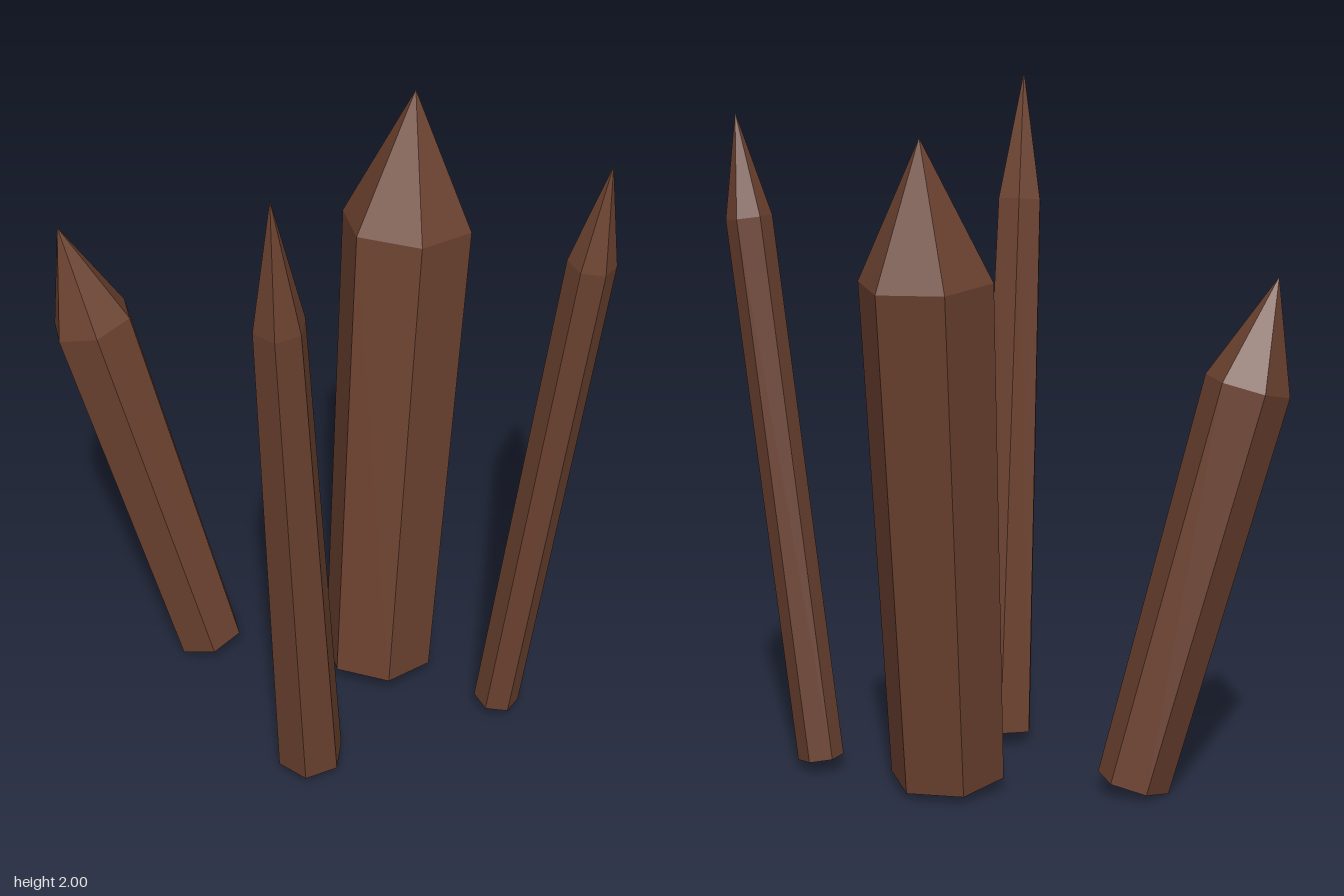
import * as THREE from 'three';

const brown = new THREE.MeshStandardMaterial({
  color: 0x6c4230, flatShading: true, side: THREE.DoubleSide,
});
brown.name = 'brown';

// Each spike: axis points at base, shoulder and tip, ring radii, and the
// angle in degrees of one ring corner measured from +x towards +z.
const SPIKES = [
  { name: 'largeSpike', base: [0.19, 0.04, -0.005], shoulder: [0.312, 1.46, -0.126], tip: [0.345, 1.845, -0.163], r0: 0.164, r1: 0.188, turn: 41 },
  { name: 'backSpike', base: [-0.253, 0.03, -0.29], shoulder: [-0.523, 1.16, -0.426], tip: [-0.6, 1.46, -0.461], r0: 0.104, r1: 0.121, turn: 40 },
  { name: 'tallSpike', base: [-0.167, 0.035, 0.338], shoulder: [-0.304, 1.62, 0.473], tip: [-0.336, 2.0, 0.51], r0: 0.097, r1: 0.071, turn: 0 },
  { name: 'thinSpike', base: [0.437, 0.04, 0.32], shoulder: [0.57, 1.6, 0.465], tip: [0.596, 1.895, 0.497], r0: 0.066, r1: 0.066, turn: 24 },
];

// Hexagonal shaft with a pointed end and an open bottom, leaning along its axis
function makeSpike({ name, base, shoulder, tip, r0, r1, turn }) {
  const foot = new THREE.Vector3(...base);
  const axis = new THREE.Vector3(...tip).sub(foot);
  const length = axis.length();
  axis.normalize();
  const shaft = new THREE.Vector3(...shoulder).sub(foot).dot(axis);
  const profile = [
    new THREE.Vector2(r0, 0),
    new THREE.Vector2(r1, shaft),
    new THREE.Vector2(0, length),
  ];
  const phi = THREE.MathUtils.degToRad(90 - turn);
  const geometry = new THREE.LatheGeometry(profile, 6, phi).toNonIndexed();
  geometry.computeVertexNormals();
  const mesh = new THREE.Mesh(geometry, brown);
  mesh.name = name;
  mesh.position.copy(foot);
  mesh.quaternion.setFromUnitVectors(new THREE.Vector3(0, 1, 0), axis);
  return mesh;
}

export function createModel() {
  const group = new THREE.Group();
  group.name = 'spikeCluster';
  for (const spike of SPIKES) group.add(makeSpike(spike));
  return group;
}
